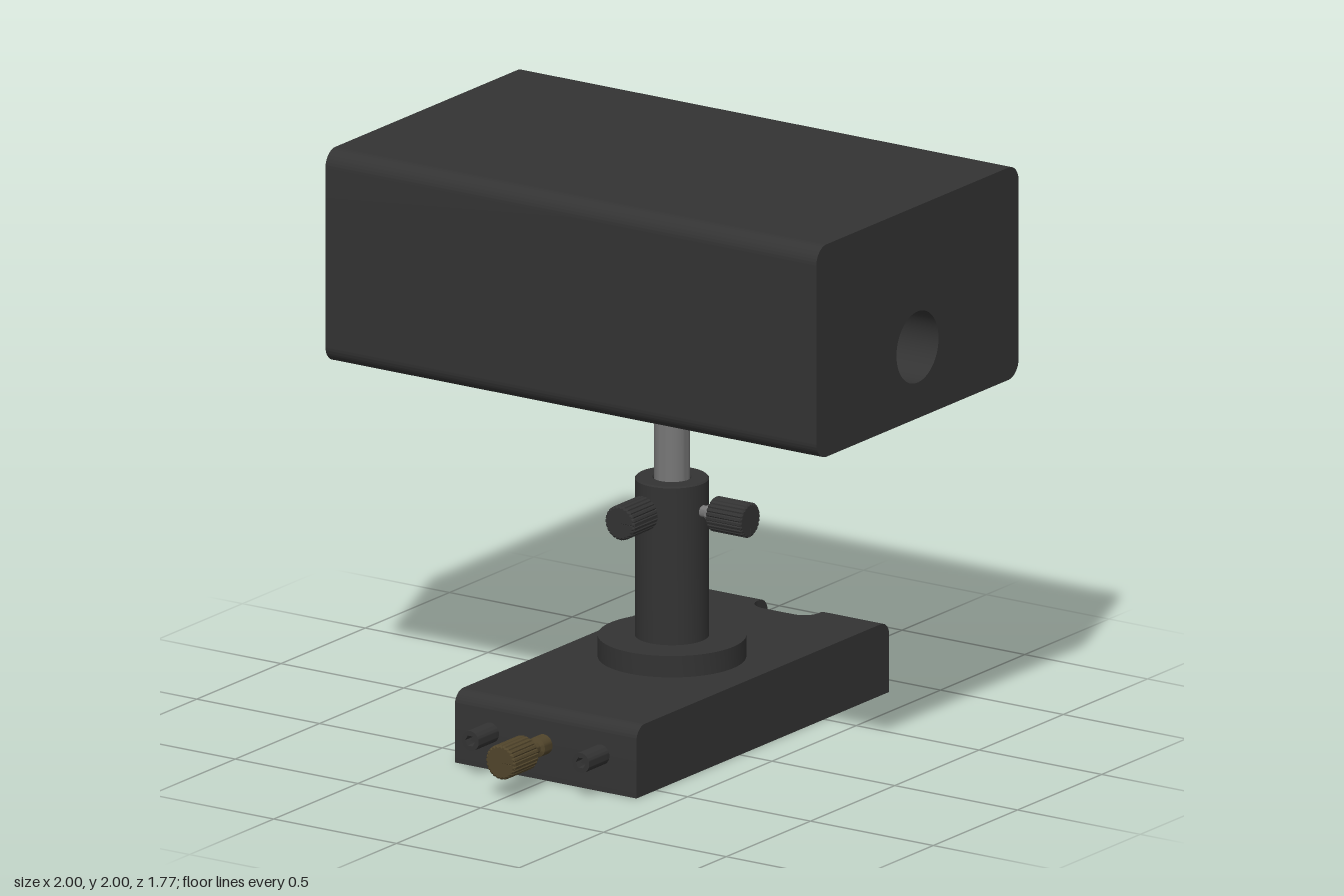
import * as THREE from 'three';
import { toCreasedNormals } from 'three/addons/utils/BufferGeometryUtils.js';

const CZ = -0.135; // z of the post axis and housing centre
const material = (color) => new THREE.MeshStandardMaterial({ color });
const black = material(0x333333);
const steel = material(0x777777);
const brass = material(0x51452b);

function mesh(name, geometry, mat, x = 0, y = 0, z = 0) {
  const m = new THREE.Mesh(toCreasedNormals(geometry, 0.6), mat);
  m.name = name;
  m.position.set(x, y, z);
  return m;
}

// Solid of revolution about y from [radius, height] pairs
function turned(points, segments = 40) {
  return new THREE.LatheGeometry(points.map(([r, y]) => new THREE.Vector2(r, y)), segments);
}

function extrude(shape, depth) {
  return new THREE.ExtrudeGeometry(shape, { depth, bevelEnabled: false, curveSegments: 24 });
}

// Side profile (horizontal = -z, vertical = y) swept along x, centred on x = 0
function alongX(shape, width) {
  return extrude(shape, width).translate(0, 0, -width / 2).rotateY(Math.PI / 2);
}

// Rectangle with separate radii for the bottom, top-left and top-right corners
function profile(x0, x1, y0, y1, bottom, topLeft, topRight) {
  const s = new THREE.Shape();
  const corner = (x, y, r, start) => {
    if (r > 0) s.absarc(x, y, r, start, start + Math.PI / 2, false);
    else s.lineTo(x, y);
  };
  s.moveTo(x0 + bottom, y0);
  s.lineTo(x1 - bottom, y0);
  corner(x1 - bottom, y0 + bottom, bottom, -Math.PI / 2);
  corner(x1 - topRight, y1 - topRight, topRight, 0);
  corner(x0 + topLeft, y1 - topLeft, topLeft, Math.PI / 2);
  corner(x0 + bottom, y0 + bottom, bottom, Math.PI);
  return s;
}

// Knurled knob running up y from y0, with a slight chamfer at each end
function knob(y0, mat) {
  const s = new THREE.Shape();
  const teeth = 24;
  for (let i = 0; i < teeth * 4; i++) {
    const a = (i / (teeth * 4)) * Math.PI * 2;
    const r = i % 4 < 2 ? 0.055 : 0.051;
    s.lineTo(r * Math.cos(a), r * Math.sin(a));
  }
  const g = new THREE.ExtrudeGeometry(s, {
    depth: 0.135, bevelThickness: 0.005, bevelSize: 0.005, bevelSegments: 1,
  });
  return mesh('knob', g.rotateX(-Math.PI / 2), mat, 0, y0 + 0.005, 0);
}

// Thumbscrew pointing up y: turned stem plus knob
function thumbscrew(name, stem, knobStart, stemMat, knobMat) {
  const g = new THREE.Group();
  g.name = name;
  g.add(mesh('stem', turned(stem, 24), stemMat), knob(knobStart, knobMat));
  return g;
}

function createModel() {
  const model = new THREE.Group();

  // Housing with a bore straight through along x
  const box = profile(-0.6, 0.6, 1.255, 2, 0.06, 0.06, 0.06);
  box.holes.push(new THREE.Path().absarc(0, 1.505, 0.125, 0, Math.PI * 2, true));
  model.add(mesh('housing', alongX(box, 2), black, 0, 0, CZ));

  // Post, holder tube and flange
  model.add(mesh('post', turned([[0, 0.34], [0.06, 0.34], [0.06, 1.256], [0, 1.256]]), steel, 0, 0, CZ));
  model.add(mesh('postHolder', turned([
    [0, 0.32], [0.125, 0.32], [0.125, 0.875], [0.12, 0.88], [0.067, 0.88], [0.062, 0.875], [0.062, 0.34],
  ], 48), black, 0, 0, CZ));
  model.add(mesh('flange', turned([
    [0, 0.245], [0.25, 0.245], [0.25, 0.325], [0, 0.325],
  ], 64), black, 0, 0, CZ));

  // Base: front block, two rear prongs and the rounded inner corners of the slot
  const base = new THREE.Group();
  base.name = 'base';
  const slot = 0.125, half = 0.37, slotEnd = 0.765, round = 0.06;
  base.add(mesh('baseBlock', alongX(profile(-0.615, slotEnd, 0, 0.25, 0, 0.05, 0), half * 2), black));
  for (const side of [-1, 1]) {
    base.add(mesh('rearProng', alongX(profile(slotEnd, 0.885, 0, 0.25, 0, 0, 0.05), half - slot),
      black, side * (half + slot) / 2));
    const fillet = new THREE.Shape();
    fillet.moveTo(side * slot, slotEnd);
    fillet.lineTo(side * slot, slotEnd + round);
    fillet.absarc(side * (slot - round), slotEnd + round, round,
      side > 0 ? 0 : Math.PI, side > 0 ? -Math.PI / 2 : Math.PI * 1.5, side > 0);
    base.add(mesh('slotCorner', extrude(fillet, 0.25).rotateX(-Math.PI / 2), black));

    // Front set screw with a hexagonal socket
    const ring = new THREE.Shape().absarc(0, 0, 0.035, 0, Math.PI * 2, false);
    const hex = new THREE.Path();
    for (let i = 0; i < 6; i++) {
      const a = -i * Math.PI / 3;
      hex.lineTo(0.02 * Math.cos(a), 0.02 * Math.sin(a));
    }
    hex.closePath();
    ring.holes.push(hex);
    base.add(mesh('setScrew', extrude(ring, 0.135), black, side * 0.225, 0.13, 0.6));
    base.add(mesh('socketFloor', new THREE.CircleGeometry(0.025, 24), black, side * 0.225, 0.13, 0.69));
  }
  model.add(base);

  // Front clamping screw
  const clamp = thumbscrew('clampScrew', [
    [0, 0], [0.035, 0], [0.035, 0.045], [0.022, 0.052], [0.022, 0.09], [0.033, 0.1], [0.033, 0.12], [0, 0.12],
  ], 0.115, brass, brass);
  clamp.rotation.x = Math.PI / 2;
  clamp.position.set(0, 0.13, 0.625);
  model.add(clamp);

  // Two locking screws on the holder, one to the left and one to the front
  const stem = [[0, 0.1], [0.02, 0.1], [0.02, 0.145], [0.028, 0.15], [0.028, 0.18], [0, 0.18]];
  const leftLock = thumbscrew('leftLockScrew', stem, 0.175, steel, black);
  leftLock.rotation.z = -Math.PI / 2;
  leftLock.position.set(0, 0.78, CZ);
  const frontLock = thumbscrew('frontLockScrew', stem, 0.167, steel, black);
  frontLock.rotation.x = Math.PI / 2;
  frontLock.position.set(0, 0.793, CZ);
  model.add(leftLock, frontLock);

  return model;
}

export { createModel };
